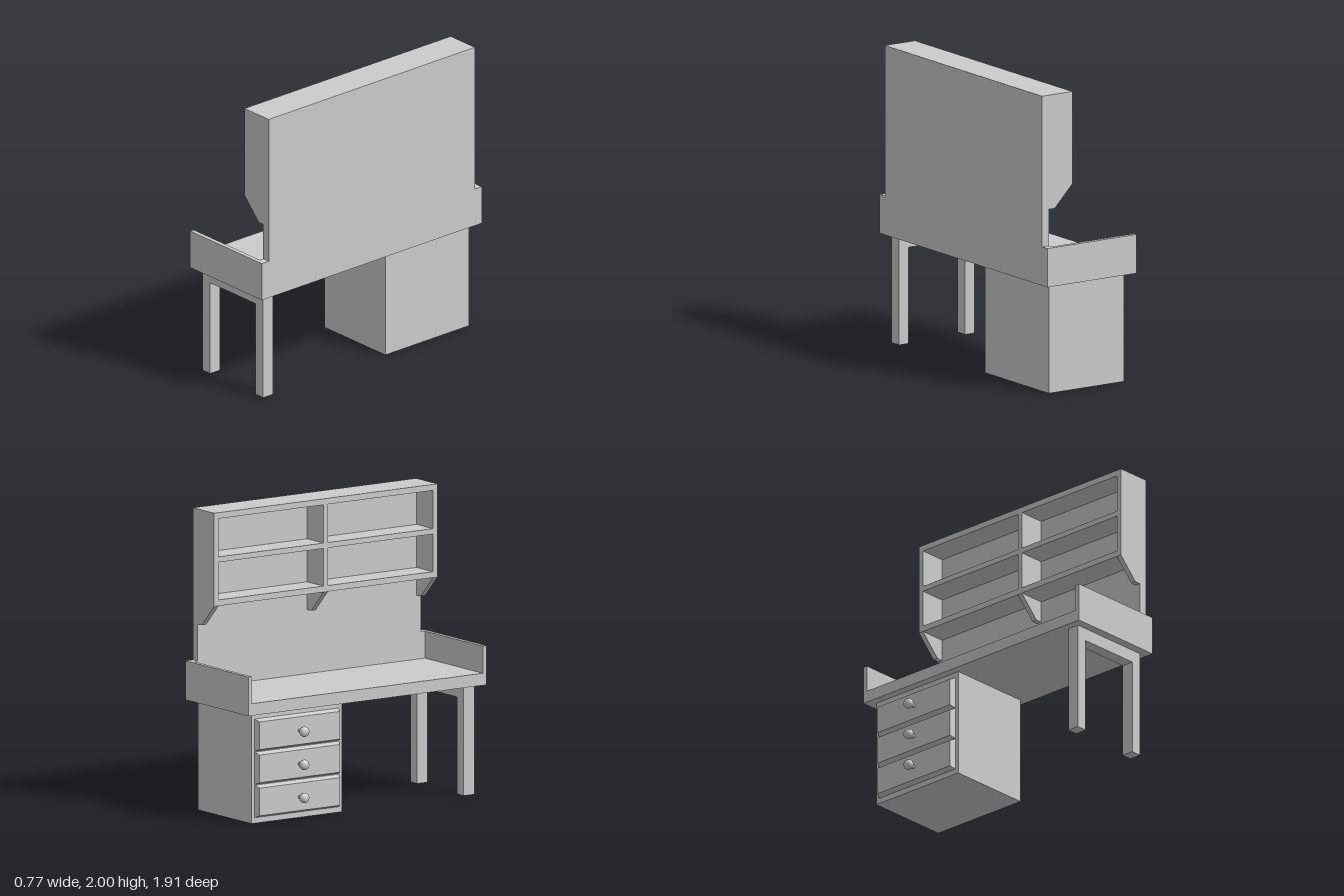
import * as THREE from 'three';

const material = new THREE.MeshStandardMaterial({ color: 0xcccccc });

export function createModel() {
  const desk = new THREE.Group();
  desk.name = 'deskWithHutch';

  function add(name, geometry, parent = desk) {
    const mesh = new THREE.Mesh(geometry, material);
    mesh.name = name;
    parent.add(mesh);
    return mesh;
  }

  // Box given by its limits on each axis
  function box(name, [x0, x1], [y0, y1], [z0, z1], parent) {
    const mesh = add(name, new THREE.BoxGeometry(x1 - x0, y1 - y0, z1 - z0), parent);
    mesh.position.set((x0 + x1) / 2, (y0 + y1) / 2, (z0 + z1) / 2);
    return mesh;
  }

  // Side profile (x, y) extruded along z
  function panel(name, points, z0, z1, parent) {
    const shape = new THREE.Shape(points.map(([x, y]) => new THREE.Vector2(x, y)));
    const geometry = new THREE.ExtrudeGeometry(shape, { depth: z1 - z0, bevelEnabled: false });
    const mesh = add(name, geometry, parent);
    mesh.position.z = z0;
    return mesh;
  }

  // Desktop with raised rims on both ends and the back
  box('desktop', [-0.33, 0.325], [0.73, 0.81], [-0.925, 0.925]);
  box('backRim', [0.325, 0.38], [0.73, 0.99], [-0.955, 0.955]);
  for (const s of [-1, 1]) {
    const z = [s * 0.925, s * 0.955].sort((a, b) => a - b);
    box('endRim', [-0.33, 0.325], [0.73, 0.99], z);
  }

  // Two legs joined by a top rail
  panel('legFrame', [
    [-0.275, 0], [-0.2, 0], [-0.2, 0.645], [0.25, 0.645],
    [0.25, 0], [0.325, 0], [0.325, 0.73], [-0.275, 0.73],
  ], 0.81, 0.895);

  // Drawer cabinet
  const cabinet = new THREE.Group();
  cabinet.name = 'drawerCabinet';
  desk.add(cabinet);
  box('cabinetBody', [-0.275, 0.325], [0, 0.73], [-0.892, -0.165], cabinet);

  // Drawer front with its outer face drawn in to form bevelled edges
  const front = new THREE.BoxGeometry(0.035, 0.216, 0.675);
  const p = front.attributes.position;
  for (let i = 0; i < p.count; i++) {
    if (p.getX(i) < 0) {
      p.setY(i, p.getY(i) - Math.sign(p.getY(i)) * 0.016);
      p.setZ(i, p.getZ(i) - Math.sign(p.getZ(i)) * 0.016);
    }
  }
  front.computeVertexNormals();

  // Round knob on a thin stem
  const knob = new THREE.LatheGeometry([
    [0.013, 0], [0.013, 0.02], [0.02, 0.026], [0.031, 0.038], [0.034, 0.05],
    [0.033, 0.061], [0.027, 0.071], [0.015, 0.077], [0, 0.079],
  ].map(([r, h]) => new THREE.Vector2(r, h)), 24);

  for (let i = 0; i < 3; i++) {
    const y = 0.145 + i * 0.22;
    add('drawerFront', front, cabinet).position.set(-0.2925, y, -0.5285);
    const handle = add('drawerKnob', knob, cabinet);
    handle.position.set(-0.309, y, -0.5285);
    handle.rotation.z = Math.PI / 2;
  }

  // Hutch: back, top, and three uprights with sloping brackets below
  const hutch = new THREE.Group();
  hutch.name = 'hutch';
  desk.add(hutch);
  box('hutchBack', [0.325, 0.38], [0.99, 2], [-0.895, 0.895], hutch);
  box('hutchTop', [0.14, 0.325], [1.96, 2], [-0.895, 0.895], hutch);
  const upright = [
    [0.325, 1.235], [0.325, 1.96], [0.14, 1.96], [0.14, 1.38], [0.28, 1.235],
  ];
  for (const z of [-0.877, 0, 0.877]) {
    panel('upright', upright, z - 0.018, z + 0.018, hutch);
  }

  // Shelves in both bays
  for (const z of [[-0.859, -0.018], [0.018, 0.859]]) {
    box('lowerShelf', [0.14, 0.325], [1.38, 1.42], z, hutch);
    box('middleShelf', [0.14, 0.325], [1.67, 1.706], z, hutch);
  }

  return desk;
}
